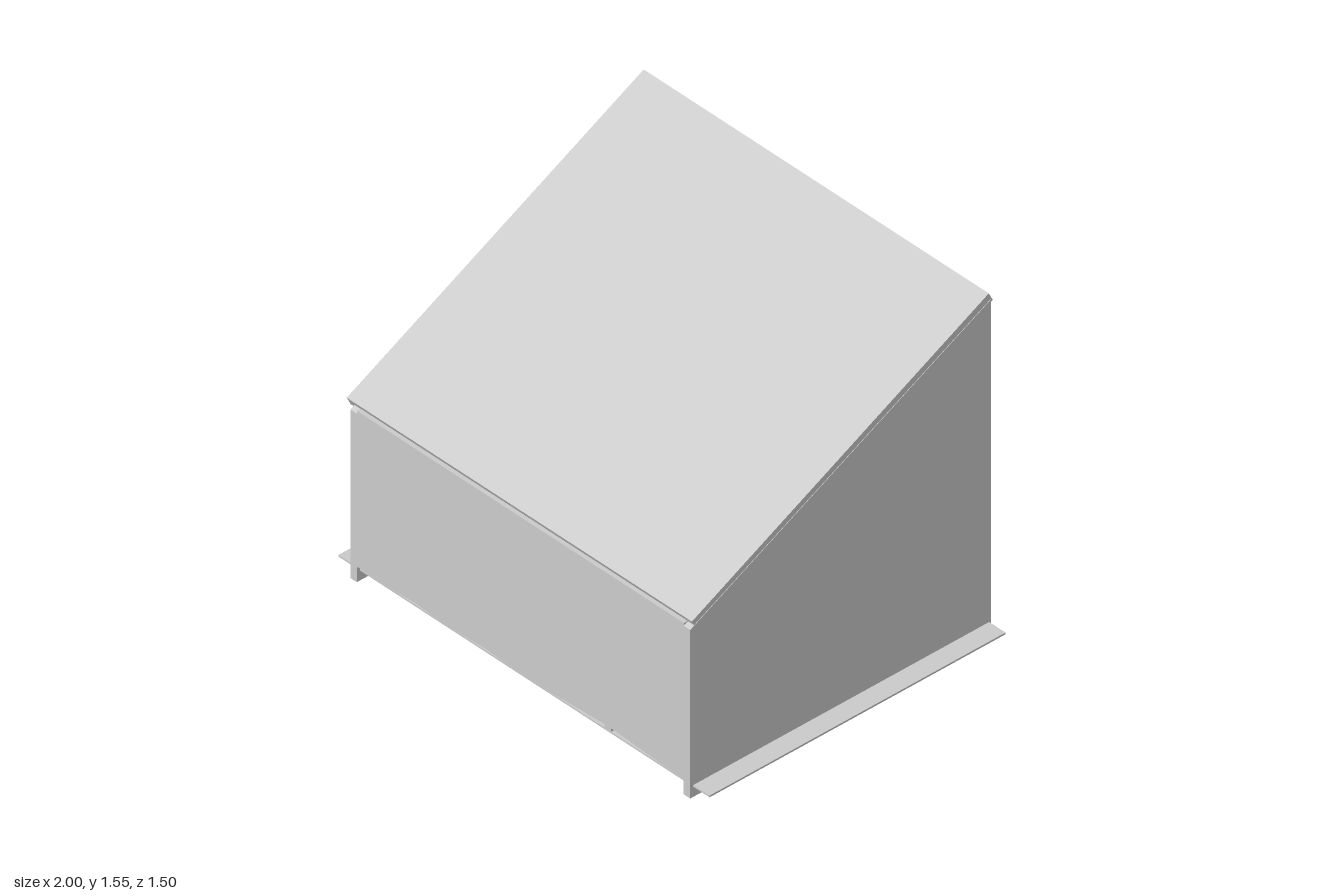
import * as THREE from 'three';

export function createModel() {
  const group = new THREE.Group();
  group.name = 'shelter';
  const material = new THREE.MeshStandardMaterial({ color: 0xcccccc, flatShading: true });

  const add = (name, geometry) => {
    const mesh = new THREE.Mesh(geometry, material);
    mesh.name = name;
    group.add(mesh);
    return mesh;
  };
  const box = (name, x0, x1, y0, y1, z0, z1) =>
    add(name, new THREE.BoxGeometry(x1 - x0, y1 - y0, z1 - z0))
      .position.set((x0 + x1) / 2, (y0 + y1) / 2, (z0 + z1) / 2);

  const shapeOf = (points) => new THREE.Shape(points.map(([a, b]) => new THREE.Vector2(a, b)));

  // Extrudes a (z, y) profile along x, from x0 to x1
  const alongX = (name, shape, x0, x1) => {
    const geometry = new THREE.ExtrudeGeometry(shape, { depth: x1 - x0, bevelEnabled: false, curveSegments: 32 });
    geometry.rotateY(-Math.PI / 2).scale(1, 1, 1);
    geometry.translate(x1, 0, 0);
    return add(name, geometry);
  };

  // Thin floor sheet, sticking out past both side walls
  box('floor', -1, 1, 0.046, 0.054, -0.73, 0.74);

  // Solid side wall with a sloping top
  const wall = [[0.755, 0], [0.755, 0.768], [-0.74, 1.52], [-0.74, 0]];
  alongX('solidSideWall', shapeOf(wall), 0.877, 0.912);

  // Opposite side wall, open from the ground up to a tall elliptical arch
  const archWall = shapeOf([[0.28, 0], ...wall.map(([z, y]) => [z, y]), [-0.63, 0]]);
  archWall.absellipse(-0.175, 0, 0.455, 0.86, Math.PI, 0, true);
  alongX('archedSideWall', archWall, -0.92, -0.885);

  // Back wall between the sides
  box('backWall', -0.885, 0.877, 0, 1.51, -0.738, -0.705);

  // Front wall, raised off the ground, with a slightly worn lower edge
  const front = shapeOf([
    [-0.885, 0.07], [-0.7, 0.07], [-0.58, 0.076], [-0.45, 0.07], [-0.35, 0.07], [-0.2, 0.076],
    [-0.08, 0.07], [0.15, 0.07], [0.45, 0.085], [0.45, 0.07], [0.485, 0.07], [0.485, 0.085],
    [0.8, 0.07], [0.877, 0.07], [0.877, 0.78], [-0.885, 0.78],
  ]);
  const frontGeometry = new THREE.ExtrudeGeometry(front, { depth: 0.034, bevelEnabled: false });
  add('frontWall', frontGeometry.translate(0, 0, 0.72));

  // Sloping roof slab, overhanging the arched side
  alongX('roof', shapeOf([[0.745, 0.8], [-0.73, 1.55], [-0.75, 1.51], [0.725, 0.76]]), -0.95, 0.91);

  return group;
}
